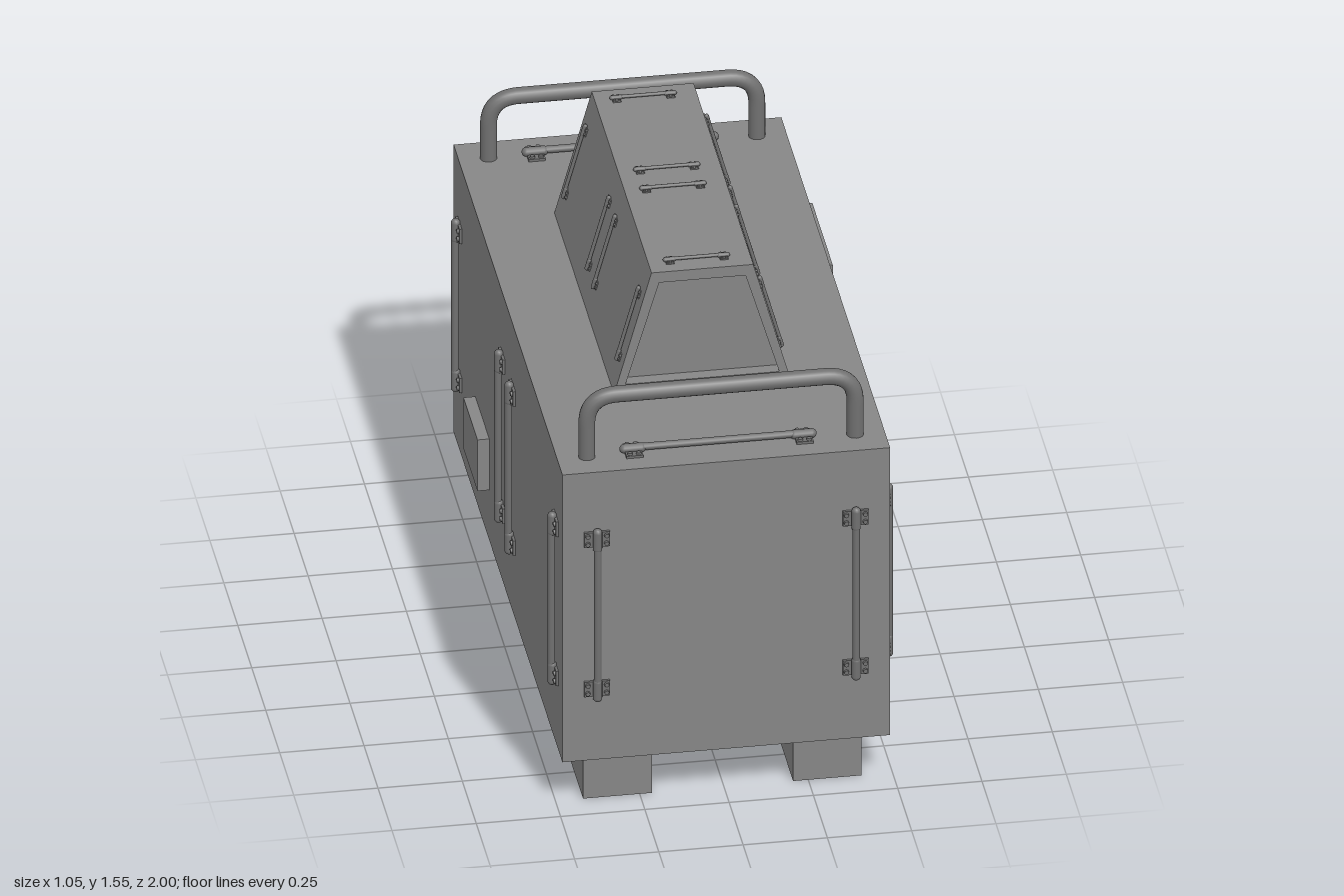
import * as THREE from 'three';

const grey = new THREE.MeshStandardMaterial({ color: 0x868686 });
const dark = new THREE.MeshStandardMaterial({ color: 0x707070 });

function add(parent, name, geometry, material, x = 0, y = 0, z = 0) {
  const m = new THREE.Mesh(geometry, material);
  m.name = name;
  m.position.set(x, y, z);
  parent.add(m);
  return m;
}

// Box given by its minimum and maximum corners
function block(parent, name, [x0, y0, z0], [x1, y1, z1]) {
  add(parent, name, new THREE.BoxGeometry(x1 - x0, y1 - y0, z1 - z0), grey,
    (x0 + x1) / 2, (y0 + y1) / 2, (z0 + z1) / 2);
}

// Bolted bar: runs along local y, stands off the surface along local z
function bar(parent, name, length, s, position, along, outward) {
  const g = new THREE.Group();
  g.name = name;
  const rod = 0.011 * s, off = 0.015 * s;
  add(g, 'rod', new THREE.CylinderGeometry(rod, rod, length - 0.04 * s, 12), dark, 0, 0, off);
  for (const e of [-1, 1]) {
    const y = e * (length / 2 - 0.04 * s);
    add(g, 'clip', new THREE.CapsuleGeometry(0.014 * s, 0.052 * s, 4, 12), dark, 0, y, off - 0.002 * s);
    add(g, 'bracket', new THREE.BoxGeometry(0.076 * s, 0.05 * s, 0.008 * s), dark, 0, y, 0.004 * s);
    for (const bx of [-1, 1]) for (const by of [-1, 1]) {
      const bolt = add(g, 'bolt', new THREE.CylinderGeometry(0.007 * s, 0.008 * s, 0.007 * s, 8), dark,
        bx * 0.028 * s, y + by * 0.013 * s, 0.011 * s);
      bolt.rotation.x = Math.PI / 2;
    }
  }
  const Y = new THREE.Vector3(...along).normalize();
  const Z = new THREE.Vector3(...outward).normalize();
  const X = new THREE.Vector3().crossVectors(Y, Z);
  g.quaternion.setFromRotationMatrix(new THREE.Matrix4().makeBasis(X, Y, Z));
  g.position.set(...position);
  parent.add(g);
}

// Symmetric trapezoid about x = cx
function trapezoid(Type, cx, y0, y1, w0, w1) {
  return new Type([[-w0, y0], [w0, y0], [w1, y1], [-w1, y1]]
    .map(([x, y]) => new THREE.Vector2(cx + x, y)));
}

function extrude(shape, depth) {
  return new THREE.ExtrudeGeometry(shape, { depth, bevelEnabled: false }).translate(0, 0, -depth / 2);
}

export function createModel() {
  const model = new THREE.Group();
  model.name = 'container';
  const X0 = -0.49, X1 = 0.482, TOP = 1.14, Z = 0.973, CX = -0.002;

  // Main case, skids and side boxes
  block(model, 'body', [X0, 0.167, -Z], [X1, TOP, Z]);
  block(model, 'rightSkid', [-0.418, 0, -0.887], [-0.214, 0.167, 0.908]);
  block(model, 'leftSkid', [0.205, 0, -0.887], [0.408, 0.167, 0.908]);
  block(model, 'leftPanel', [X1, 0.777, -0.665], [0.523, 1.023, -0.3]);
  block(model, 'rightPanel', [-0.525, 0.337, -0.585], [X0, 0.51, -0.335]);

  // Upright bars on all four sides
  for (const z of [0.865, 0.097, -0.09, -0.86]) {
    bar(model, 'sideBar', 0.585, 1, [X1, 0.663, z], [0, 1, 0], [1, 0, 0]);
    bar(model, 'sideBar', 0.585, 1, [X0, 0.663, z], [0, 1, 0], [-1, 0, 0]);
  }
  for (const s of [-1, 1]) for (const x of [-0.388, 0.379]) {
    bar(model, 'endBar', 0.585, 1, [x, 0.663, s * Z], [0, 1, 0], [0, 0, s]);
  }

  // Bent tube rails with a bolted bar beneath each
  const rail = new THREE.CurvePath();
  const v = (x, y) => new THREE.Vector3(x, y, 0);
  const w = 0.398, h = 0.203, r = 0.09;
  rail.add(new THREE.LineCurve3(v(-w, -0.01), v(-w, h - r)));
  rail.add(new THREE.QuadraticBezierCurve3(v(-w, h - r), v(-w, h), v(r - w, h)));
  rail.add(new THREE.LineCurve3(v(r - w, h), v(w - r, h)));
  rail.add(new THREE.QuadraticBezierCurve3(v(w - r, h), v(w, h), v(w, h - r)));
  rail.add(new THREE.LineCurve3(v(w, h - r), v(w, -0.01)));
  const tube = new THREE.TubeGeometry(rail, 80, 0.025, 16);
  for (const z of [-0.88, 0.878]) {
    add(model, 'rail', tube, dark, -0.004, TOP, z);
    bar(model, 'deckBar', 0.585, 1, [-0.012, TOP, z - Math.sign(z) * 0.005], [1, 0, 0], [0, 1, 0]);
  }

  // Tapered upper housing, open at both ends with a recessed panel inside
  const H = 1.54, L = 1.068;
  const shell = trapezoid(THREE.Shape, CX, TOP, H, 0.262, 0.151);
  shell.holes.push(trapezoid(THREE.Path, CX, TOP + 0.03, H - 0.035, 0.228, 0.128));
  add(model, 'upperHousing', extrude(shell, L), grey);
  add(model, 'recessedPanel',
    extrude(trapezoid(THREE.Shape, CX, TOP + 0.02, H - 0.025, 0.236, 0.133), L - 0.08), grey);

  // Small bars on the housing's top and sloping sides
  for (const z of [0.475, 0.054, -0.057, -0.478]) {
    bar(model, 'housingTopBar', 0.2, 0.5, [-0.01, H, z], [1, 0, 0], [0, 1, 0]);
    for (const s of [-1, 1]) {
      bar(model, 'housingSideBar', 0.255, 0.5, [CX + s * 0.206, 1.34, z], [-s * 0.111, 0.4, 0], [s * 0.4, 0.111, 0]);
    }
  }
  return model;
}
